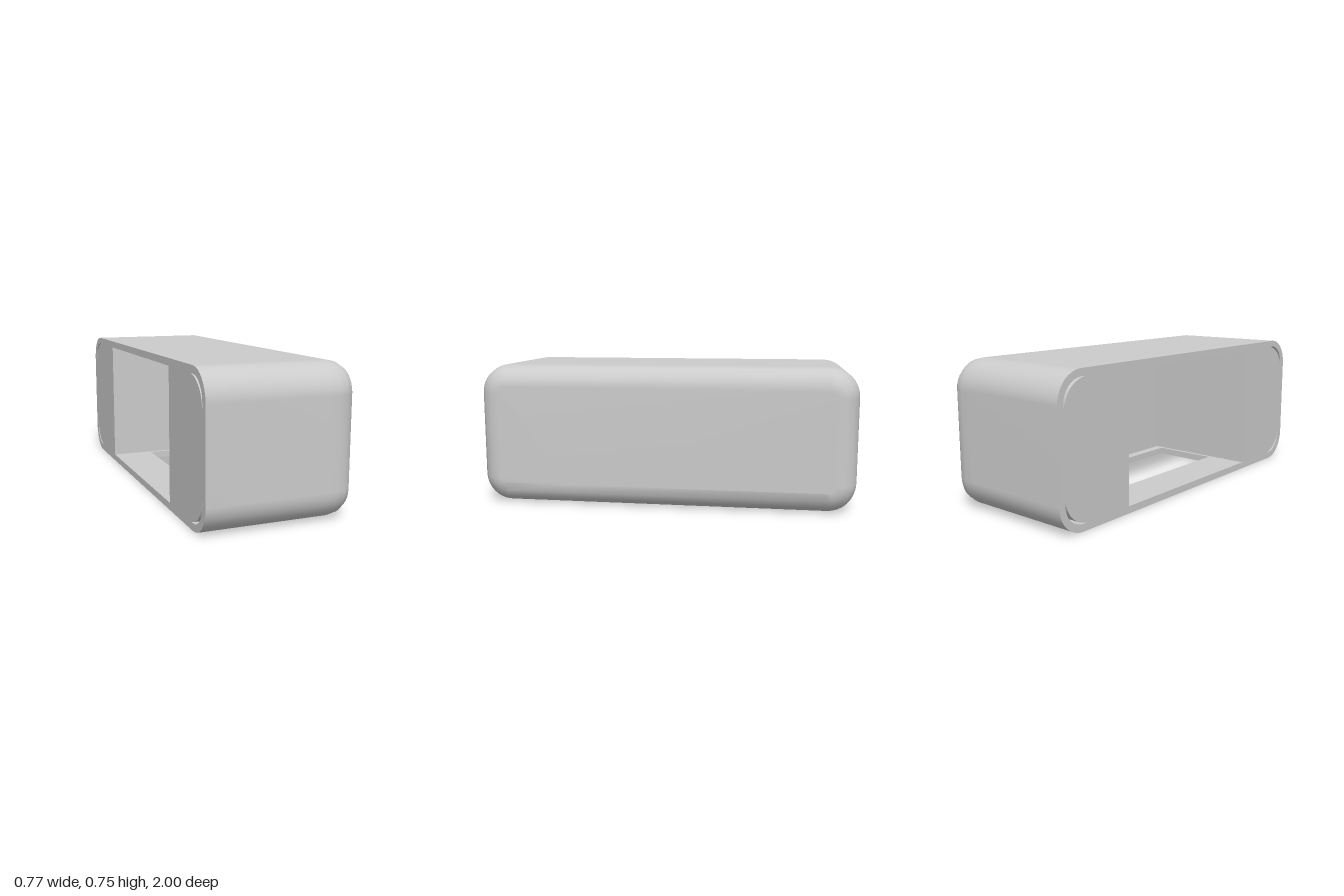
import * as THREE from 'three';

const HX = 0.384, HZ = 1, H = 0.748;      // half width, half length, height
const R = 0.15, FILLET = 0.115, T = 0.037; // corner radius, edge rounding, wall thickness
const BACK = 0.265;                        // depth of the cavity
const HOLE = { x0: -0.155, x1: 0.213, z: 0.51 };

// Rounded rectangle in the z-y plane at a given x; the first two points bound the floor hole
function ring(x, inset) {
  const r = R - inset, cu = HZ - R, lo = R, hi = H - R;
  const pts = [[x, inset, HOLE.z], [x, inset, -HOLE.z]];
  const corners = [[cu, lo], [cu, hi], [-cu, hi], [-cu, lo]];
  corners.forEach(([u, y], q) => {
    for (let k = 0; k <= 8; k++) {
      const a = (q - 1 + k / 8) * Math.PI / 2;
      pts.push([x, y + r * Math.sin(a), -(u + r * Math.cos(a))]);
    }
  });
  return pts;
}

// Skin through the rings, closed at both ends; repeated rings make sharp edges
function loft(sections) {
  const rings = sections.map(([x, d]) => ring(x, d));
  const n = rings[0].length, last = (rings.length - 1) * n, index = [];
  for (let j = 1; j < n - 1; j++) {
    index.push(0, j, j + 1, last, last + j + 1, last + j);
  }
  for (let i = 0; i < rings.length - 1; i++) {
    const [x0, d0] = sections[i], [x1, d1] = sections[i + 1];
    if (x0 === x1 && d0 === d1) continue;
    const overHole = Math.min(x0, x1) === HOLE.x0 && Math.max(x0, x1) === HOLE.x1;
    for (let j = 0; j < n; j++) {
      if (overHole && j === 0) continue;
      const k = (j + 1) % n;
      const a = i * n + j, b = i * n + k, c = b + n, d = a + n;
      index.push(a, d, b, b, d, c);
    }
  }
  const g = new THREE.BufferGeometry();
  g.setAttribute('position', new THREE.Float32BufferAttribute(rings.flat(2), 3));
  g.setIndex(index);
  g.computeVertexNormals();
  return g;
}

export function createModel() {
  const group = new THREE.Group();
  const mat = new THREE.MeshStandardMaterial({ color: 0xcccccc });
  const thin = new THREE.MeshStandardMaterial({ color: 0xcccccc, side: THREE.DoubleSide });
  const add = (name, geometry, material = mat) => {
    const mesh = new THREE.Mesh(geometry, material);
    mesh.name = name;
    group.add(mesh);
    return mesh;
  };

  // Shell: rounded closed side, outer walls, rim, inner walls
  const sections = [];
  for (let k = 0; k <= 4; k++) {
    const a = k / 4 * Math.PI / 2;
    sections.push([HX - FILLET + FILLET * Math.cos(a), FILLET * (1 - Math.sin(a))]);
  }
  sections.push(
    [HOLE.x1, 0], [HOLE.x0, 0], [-HX, 0],
    [-HX, 0], [-HX, T],
    [-HX, T], [HOLE.x0, T], [HOLE.x1, T], [BACK, T],
    [BACK, T]
  );
  add('shell', loft(sections));

  // Solid blocks filling both ends, leaving the cavity between them
  for (const s of [-1, 1]) {
    const r = 0.135, u0 = 0.53, u1 = HZ - T, y0 = T, y1 = H - T;
    const shape = new THREE.Shape();
    shape.moveTo(s * u0, y0);
    shape.lineTo(s * (u1 - r), y0);
    shape.quadraticCurveTo(s * (u1 - r * 0.15), y0 + r * 0.15, s * u1, y0 + r);
    shape.lineTo(s * u1, y1 - r);
    shape.quadraticCurveTo(s * (u1 - r * 0.15), y1 - r * 0.15, s * (u1 - r), y1);
    shape.lineTo(s * u0, y1);
    shape.closePath();
    const g = new THREE.ExtrudeGeometry(shape, { depth: BACK + HX, bevelEnabled: false, curveSegments: 8 });
    g.rotateY(Math.PI / 2);
    g.translate(-HX, 0, 0);
    add(s < 0 ? 'frontEndBlock' : 'backEndBlock', g);
  }

  // Cut edges of the floor hole
  const midX = (HOLE.x0 + HOLE.x1) / 2;
  for (const s of [-1, 1]) {
    add('holeEndEdge', new THREE.PlaneGeometry(HOLE.x1 - HOLE.x0, T), thin)
      .position.set(midX, T / 2, s * HOLE.z);
    const side = add('holeSideEdge', new THREE.PlaneGeometry(HOLE.z * 2, T), thin);
    side.rotation.y = Math.PI / 2;
    side.position.set(s < 0 ? HOLE.x0 : HOLE.x1, T / 2, 0);
  }
  return group;
}
